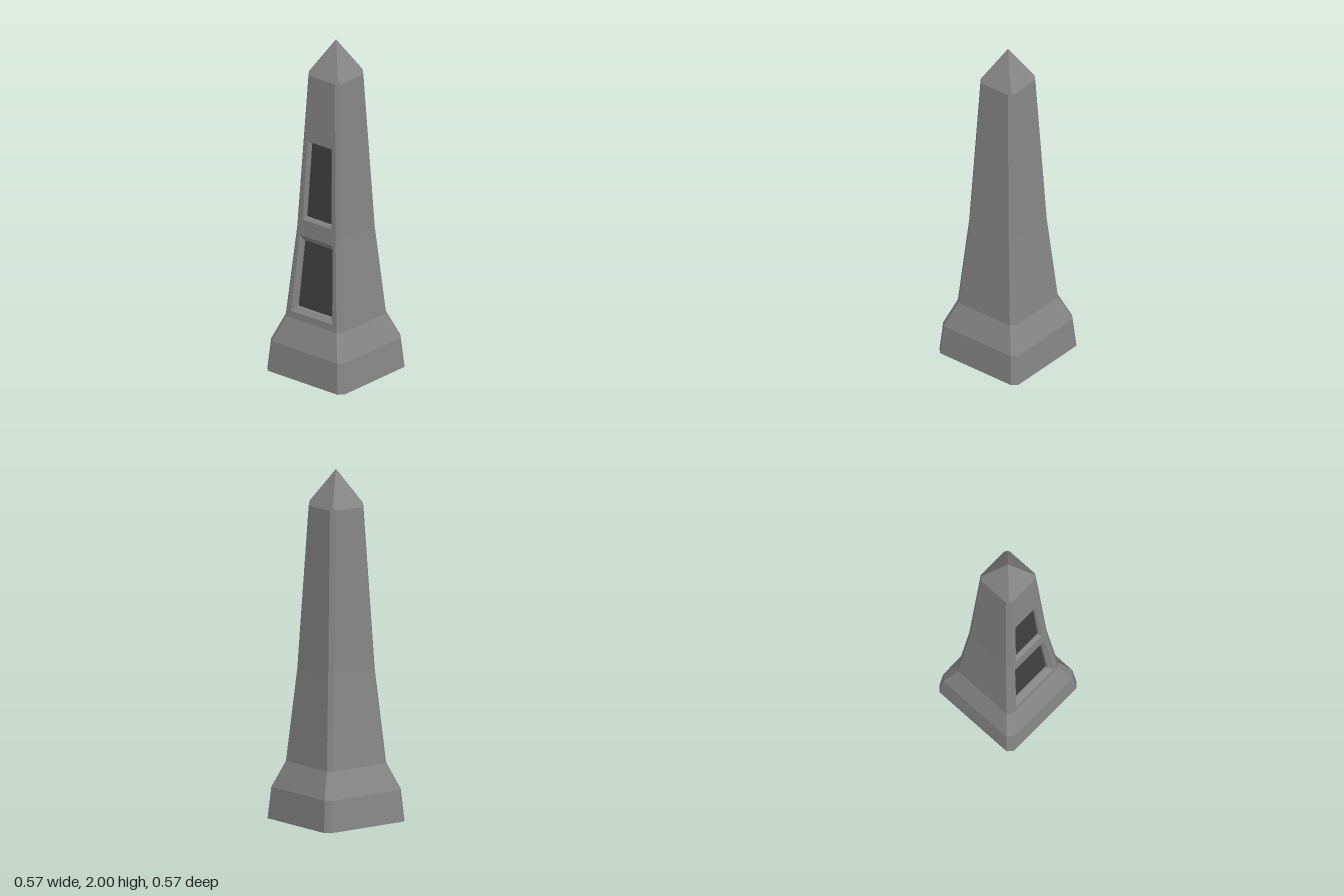
import * as THREE from 'three';

// Shaft profile, bottom to top: height, half width, half width of the flat between chamfers
const PROFILE = [
  [0, 0.285, 0.256],
  [0.18, 0.27, 0.241],
  [0.33, 0.21, 0.185],
  [0.86, 0.165, 0.14],
  [1.79, 0.119, 0.096],
];
const TIP = 2;
const STONE = 0x868686;
const DARK = 0x404040;

// Recessed front windows, keyed by the profile band they sit in.
// Each loop is [bottom y, bottom half width, top y, top half width].
const WINDOWS = {
  2: { outer: [0.37, 0.153, 0.828, 0.121], inner: [0.395, 0.13, 0.797, 0.11], bevel: 0.02, depth: 0.037 },
  3: { outer: [0.925, 0.106, 1.4, 0.09], inner: [0.94, 0.094, 1.39, 0.076], bevel: 0.012, depth: 0.025 },
};

// Collects flat polygons (corners counter-clockwise from outside)
class Faces {
  constructor() { this.points = []; }
  add(...corners) {
    for (let i = 1; i < corners.length - 1; i++) {
      this.points.push(...corners[0], ...corners[i], ...corners[i + 1]);
    }
  }
  band(a, b) {
    for (let i = 0; i < 4; i++) {
      const j = (i + 1) % 4;
      this.add(a[i], a[j], b[j], b[i]);
    }
  }
  mesh(name, color) {
    const geometry = new THREE.BufferGeometry();
    geometry.setAttribute('position', new THREE.Float32BufferAttribute(this.points, 3));
    geometry.computeVertexNormals();
    const mesh = new THREE.Mesh(geometry, new THREE.MeshStandardMaterial({ color, flatShading: true }));
    mesh.name = name;
    return mesh;
  }
}

// Quarter turns about the vertical axis, front to +x side and on
function turn([x, y, z], k) {
  for (let i = 0; i < k; i++) [x, z] = [z, -x];
  return [x, y, z];
}

const left = ([y, h, f]) => [-f, y, h];
const right = ([y, h, f]) => [f, y, h];
const nextLeft = ([y, h, f]) => [h, y, f];

// Corners of a trapezoid lying on the front of a band, pushed in by depth
function windowLoop([y0, x0, y1, x1], lo, hi, depth) {
  const z = (y) => THREE.MathUtils.mapLinear(y, lo[0], hi[0], lo[1], hi[1]) - depth;
  return [[-x0, y0, z(y0)], [x0, y0, z(y0)], [x1, y1, z(y1)], [-x1, y1, z(y1)]];
}

export function createModel() {
  const group = new THREE.Group();
  const shaft = new Faces(), cap = new Faces(), frames = new Faces(), panels = new Faces();
  const base = PROFILE[0], top = PROFILE[PROFILE.length - 1];

  // Shaft: four flats and four chamfers per band, with openings in the front
  for (let b = 0; b < PROFILE.length - 1; b++) {
    const lo = PROFILE[b], hi = PROFILE[b + 1];
    for (let k = 0; k < 4; k++) {
      const side = [left(lo), right(lo), right(hi), left(hi)].map((p) => turn(p, k));
      const opening = k === 0 && WINDOWS[b];
      if (opening) {
        const rim = windowLoop(opening.outer, lo, hi, 0);
        const lip = windowLoop(opening.inner, lo, hi, opening.bevel);
        const back = windowLoop(opening.inner, lo, hi, opening.depth);
        shaft.band(side, rim);
        frames.band(rim, lip);
        frames.band(lip, back);
        panels.add(...back);
      } else {
        shaft.add(...side);
      }
      shaft.add(...[right(lo), nextLeft(lo), nextLeft(hi), right(hi)].map((p) => turn(p, k)));
    }
  }

  // Underside
  const rim = [];
  for (let k = 0; k < 4; k++) rim.push(turn(left(base), k), turn(right(base), k));
  shaft.add(...rim.reverse());

  // Pyramid cap: each chamfer runs up to a point on the pyramid's edge
  const c = 0.105;
  const cy = TIP - (TIP - top[0]) * c / top[1];
  for (let k = 0; k < 4; k++) {
    cap.add(...[[0, TIP, 0], [-c, cy, c], left(top), right(top), [c, cy, c]].map((p) => turn(p, k)));
    cap.add(...[right(top), nextLeft(top), [c, cy, c]].map((p) => turn(p, k)));
  }

  group.add(
    shaft.mesh('shaft', STONE),
    cap.mesh('pyramidCap', STONE),
    frames.mesh('windowFrames', STONE),
    panels.mesh('windowPanels', DARK),
  );
  return group;
}
